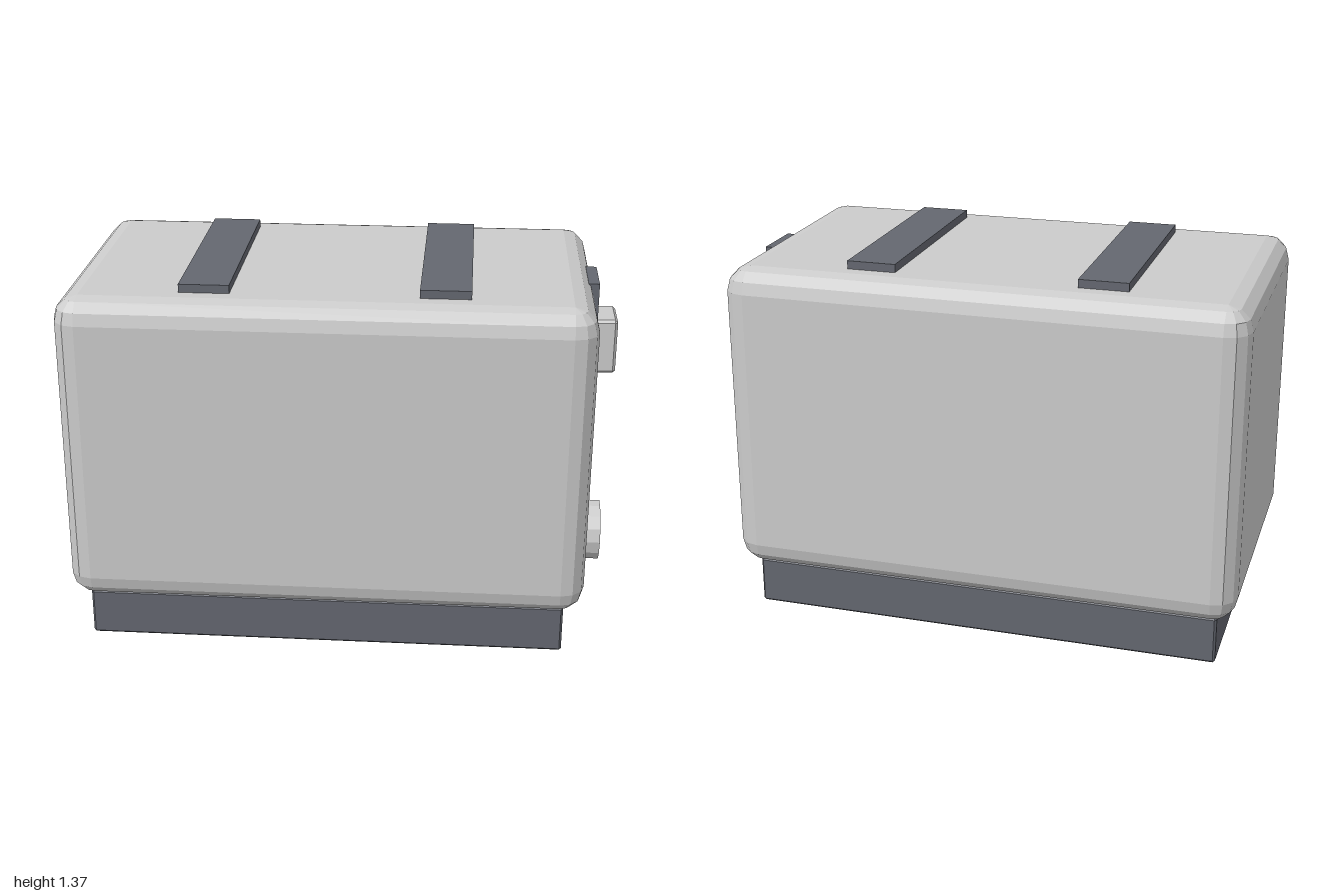
import * as THREE from 'three';
import { ConvexGeometry } from 'three/addons/geometries/ConvexGeometry.js';

const grey = new THREE.MeshStandardMaterial({ color: 0xcccccc, flatShading: true });
const dark = new THREE.MeshStandardMaterial({ color: 0x646770, flatShading: true });

// Faceted box with rounded edges: hull of eight corner octants.
function bevelBox(w, h, d, r, segments) {
  const points = [];
  const step = Math.PI / 2 / segments;
  for (const sx of [-1, 1]) for (const sy of [-1, 1]) for (const sz of [-1, 1]) {
    for (let i = 0; i <= segments; i++) {
      const ring = i === segments ? 0 : segments;
      for (let j = 0; j <= ring; j++) {
        const a = i * step, b = j * step;
        points.push(new THREE.Vector3(
          sx * (w / 2 - r + r * Math.cos(a) * Math.cos(b)),
          sy * (h / 2 - r + r * Math.sin(a)),
          sz * (d / 2 - r + r * Math.cos(a) * Math.sin(b))));
      }
    }
  }
  return new ConvexGeometry(points);
}

export function createModel() {
  const model = new THREE.Group();
  model.name = 'toaster';

  const add = (name, geometry, material, x, y, z = 0) => {
    const mesh = new THREE.Mesh(geometry, material);
    mesh.name = name;
    mesh.position.set(x, y, z);
    model.add(mesh);
    return mesh;
  };

  // Housing on its plinth
  add('body', bevelBox(1.9, 1.16, 1.12, 0.088, 3), grey, -0.05, 0.76);
  add('base', bevelBox(1.76, 0.18, 0.98, 0.008, 1), dark, -0.05, 0.09);

  // Bread slots
  for (const x of [-0.475, 0.37]) {
    add('breadSlot', new THREE.BoxGeometry(0.18, 0.06, 0.84), dark, x, 1.34);
  }

  // Lever track and handle on the left end
  add('leverTrack', new THREE.BoxGeometry(0.04, 0.635, 0.21), dark, 0.9, 0.988);
  add('leverHandle', bevelBox(0.12, 0.206, 0.18, 0.01, 1), grey, 0.937, 1.058);

  // Browning knob
  const knob = add('browningKnob', new THREE.CylinderGeometry(0.11, 0.11, 0.08, 14), grey, 0.912, 0.425, 0.32);
  knob.rotation.z = -Math.PI / 2;

  return model;
}
